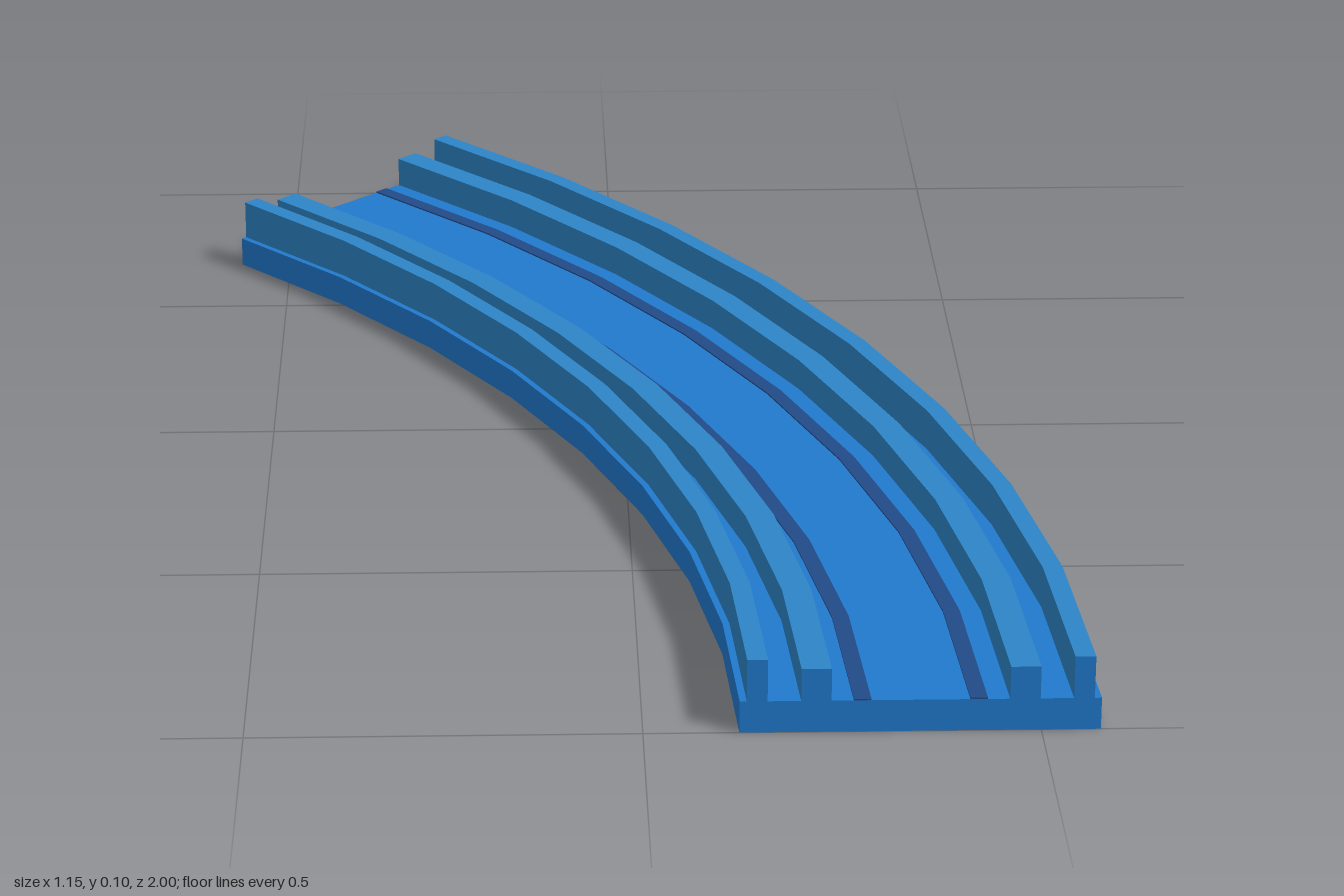
import * as THREE from 'three';

const RADIUS = 2.602, CENTRE_X = -2.254, CENTRE_Z = 1;
const SWEEP = Math.PI / 4, STEPS = 8;

// Sweeps a rectangle (radial offsets r0..r1, heights y0..y1) along the curve.
// Material group 0 is the long sides, group 1 the two end faces.
function sweepBar(r0, r1, y0, y1) {
  const corners = [[r0, y0], [r1, y0], [r1, y1], [r0, y1]];
  const positions = [];
  const add = (step, corner) => {
    const a = (SWEEP * step) / STEPS, [r, y] = corners[corner % 4];
    positions.push(CENTRE_X + (RADIUS + r) * Math.cos(a), y, CENTRE_Z - (RADIUS + r) * Math.sin(a));
  };
  for (let s = 0; s < STEPS; s++) {
    for (let c = 0; c < 4; c++) {
      add(s, c); add(s + 1, c); add(s + 1, c + 1);
      add(s, c); add(s + 1, c + 1); add(s, c + 1);
    }
  }
  const sideCount = positions.length / 3;
  for (const c of [0, 1, 2, 0, 2, 3]) add(0, c);
  for (const c of [0, 2, 1, 0, 3, 2]) add(STEPS, c);
  const geometry = new THREE.BufferGeometry();
  geometry.setAttribute('position', new THREE.Float32BufferAttribute(positions, 3));
  geometry.addGroup(0, sideCount, 0);
  geometry.addGroup(sideCount, 12, 1);
  geometry.computeVertexNormals();
  return geometry;
}

function material(name, color) {
  const m = new THREE.MeshStandardMaterial({ color });
  m.name = name;
  return m;
}

export function createModel() {
  const group = new THREE.Group();
  group.name = 'curvedTrack';
  const blue = material('trackBlue', 0x2079cd);
  const railBlue = material('railBlue', 0x2d84c7);
  const navy = material('stripeNavy', 0x224a87);

  const addBar = (name, r0, r1, y0, y1, side, cap) => {
    const mesh = new THREE.Mesh(sweepBar(r0, r1, y0, y1), [side, cap]);
    mesh.name = name;
    group.add(mesh);
  };

  // Road bed
  addBar('roadBed', -0.227, 0.227, 0, 0.043, blue, blue);

  // Matching walls, guide rails and painted stripes on both sides
  for (const [prefix, sign] of [['inner', -1], ['outer', 1]]) {
    const pair = (name, near, far, y0, y1, side, cap) => {
      const [a, b] = sign > 0 ? [near, far] : [-far, -near];
      addBar(prefix + name, a, b, y0, y1, side, cap);
    };
    pair('EdgeWall', 0.192, 0.218, 0.043, 0.1, railBlue, blue);
    pair('GuideRail', 0.112, 0.15, 0.043, 0.087, railBlue, blue);
    pair('Stripe', 0.062, 0.084, 0.043, 0.045, navy, navy);
  }
  return group;
}
